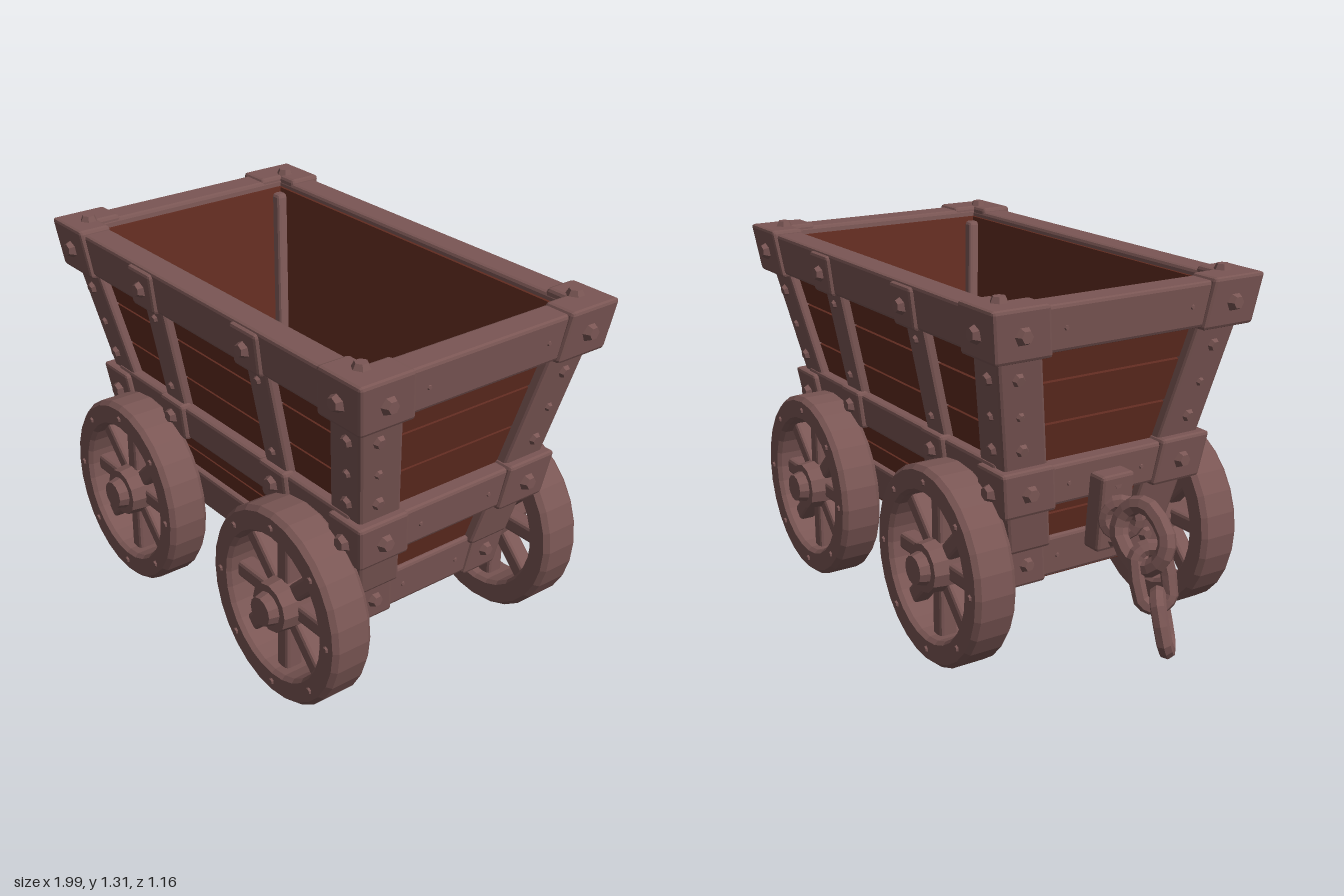
import * as THREE from 'three';
import { RoundedBoxGeometry } from 'three/addons/geometries/RoundedBoxGeometry.js';

const frameMat = new THREE.MeshStandardMaterial({ color: 0x7a5654, flatShading: true });
frameMat.name = 'dusty brown frame';
const plankMat = new THREE.MeshStandardMaterial({ color: 0x602b20, flatShading: true });
plankMat.name = 'red brown planks';

const LEAN_X = 0.215, LEAN_Z = 0.2; // outward lean of the walls
const postX = (y) => 0.8 + LEAN_X * (y - 1.13);
const postZ = (y) => 0.47 + LEAN_Z * (y - 1.13);
const SIGNS = [-1, 1];

function add(parent, name, geo, mat = frameMat) {
  const mesh = new THREE.Mesh(geo, mat);
  mesh.name = name;
  parent.add(mesh);
  return mesh;
}

function group(parent, name) {
  const g = new THREE.Group();
  g.name = name;
  parent.add(g);
  return g;
}

// Chamfered block, sheared so that it leans by kx and kz per unit of height
function block(parent, name, [w, h, d], [x, y, z], kx = 0, kz = 0) {
  const geo = new RoundedBoxGeometry(w, h, d, 1, 0.012);
  const p = geo.attributes.position;
  for (let i = 0; i < p.count; i++) {
    p.setX(i, p.getX(i) + kx * p.getY(i));
    p.setZ(i, p.getZ(i) + kz * p.getY(i));
  }
  geo.computeVertexNormals();
  const mesh = add(parent, name, geo);
  mesh.position.set(x, y, z);
  return mesh;
}

// Low six-sided rivet pointing along dir
function bolt(parent, pos, dir, r = 0.03) {
  const mesh = add(parent, 'bolt', new THREE.CylinderGeometry(r * 0.6, r, r * 0.8, 6));
  mesh.position.set(...pos);
  mesh.quaternion.setFromUnitVectors(new THREE.Vector3(0, 1, 0), new THREE.Vector3(...dir).normalize());
}

// Surface through rectangular rings [halfX, y, halfZ], closed at both ends
function loftRects(rings) {
  const corner = ([x, y, z], j) => [[x, y, z], [x, y, -z], [-x, y, -z], [-x, y, z]][j % 4];
  const out = [];
  const quad = (a, b, c, d) => out.push(...a, ...b, ...c, ...a, ...c, ...d);
  for (let i = 0; i < rings.length - 1; i++)
    for (let j = 0; j < 4; j++)
      quad(corner(rings[i], j), corner(rings[i], j + 1), corner(rings[i + 1], j + 1), corner(rings[i + 1], j));
  const a = rings[0], b = rings[rings.length - 1];
  quad(corner(a, 3), corner(a, 2), corner(a, 1), corner(a, 0));
  quad(corner(b, 0), corner(b, 1), corner(b, 2), corner(b, 3));
  const geo = new THREE.BufferGeometry();
  geo.setAttribute('position', new THREE.Float32BufferAttribute(out, 3));
  geo.computeVertexNormals();
  return geo;
}

// Plank tub: grooved outside, smooth inside, lining the rim
function buildTub(body) {
  const outer = (y, inset = 0) => [postX(y) - 0.04 - inset, y, postZ(y) - 0.035 - inset];
  const rings = [outer(0.267)];
  for (const y of [0.52, 0.86, 1.01])
    rings.push(outer(y - 0.004), outer(y - 0.001, 0.012), outer(y + 0.001, 0.012), outer(y + 0.004));
  rings.push(outer(1.255), [0.72, 1.255, 0.388], [0.485, 0.33, 0.23]);
  add(body, 'tub', loftRects(rings), plankMat);
}

// Horizontal beams round the tub, wrapped at the corners by L-shaped blocks
function buildBand(body, name, { y, h, sideY, sideH, x, z, t, bw, bd, out, r }) {
  const band = group(body, name);
  for (const s of SIGNS) {
    block(band, 'sideBeam', [2 * x - 0.1, sideH, t], [0, sideY, s * (z - t / 2)], 0, s * 0.12);
    block(band, 'endBeam', [t, h, 2 * z - 0.1], [s * (x - t / 2), y, 0], s * 0.12, 0);
    for (const n of SIGNS) {
      const ox = x + out, oz = z + out, bt = t + out;
      const cx = s * (ox - bw / 2), cz = n * (oz - bd / 2);
      block(band, 'cornerBlock', [bw, h + 0.02, bt], [cx, y, n * (oz - bt / 2)], s * 0.14, n * 0.14);
      block(band, 'cornerBlock', [bt, h + 0.02, bd], [s * (ox - bt / 2), y, cz], s * 0.14, n * 0.14);
      bolt(band, [s * (ox + 0.008), y, cz], [s, 0, 0], r);
      bolt(band, [cx, y, n * (oz + 0.008)], [0, 0, n], r);
      bolt(band, [s * x, y, n * (z - bd - 0.045)], [s, 0, 0], 0.011);
    }
  }
  return band;
}

function buildFrame(body) {
  const rim = buildBand(body, 'topRim', { y: 1.205, h: 0.155, sideY: 1.203, sideH: 0.15,
    x: 0.835, z: 0.5, t: 0.108, bw: 0.2, bd: 0.21, out: 0.014, r: 0.035 });
  const belt = buildBand(body, 'middleBelt', { y: 0.653, h: 0.145, sideY: 0.685, sideH: 0.125,
    x: 0.722, z: 0.392, t: 0.075, bw: 0.16, bd: 0.2, out: 0.015, r: 0.035 });
  buildBand(body, 'bottomSill', { y: 0.358, h: 0.15, sideY: 0.372, sideH: 0.145,
    x: 0.618, z: 0.312, t: 0.075, bw: 0.13, bd: 0.15, out: 0.01, r: 0.03 });

  for (const s of SIGNS) for (const n of SIGNS) {
    bolt(rim, [s * 0.755, 1.297, n * 0.435], [0, 1, 0], 0.036);

    // Leaning corner posts made of two boards, with a thin strut inside
    const px = postX(0.78), pz = postZ(0.78);
    block(body, 'cornerPost', [0.145, 0.74, 0.08], [s * (px - 0.0725), 0.78, n * (pz - 0.04)], s * LEAN_X, n * LEAN_Z);
    block(body, 'cornerPost', [0.08, 0.74, 0.165], [s * (px - 0.04), 0.78, n * (pz - 0.0825)], s * LEAN_X, n * LEAN_Z);
    block(body, 'innerStrut', [0.07, 0.9, 0.07], [s * 0.6, 0.79, n * 0.308], s * 0.253, n * 0.17);
    for (const y of [1.05, 0.92, 0.8]) {
      const r = y === 0.92 ? 0.018 : 0.027;
      bolt(body, [s * (postX(y) + 0.004), y, n * (postZ(y) - 0.07)], [s, -0.2, 0], r);
      bolt(body, [s * (postX(y) - 0.06), y, n * (postZ(y) + 0.004)], [0, -0.2, n], r);
    }

    // Side ribs with plates where they cross the rim and belt
    const x = s * 0.295;
    block(body, 'sideRib', [0.115, 0.5, 0.06], [x, 0.9, n * (postZ(0.9) - 0.03)], 0, n * LEAN_Z);
    block(rim, 'ribPlate', [0.14, 0.145, 0.05], [x, 1.197, n * 0.488], 0, n * 0.12);
    block(belt, 'ribPlate', [0.14, 0.14, 0.05], [x, 0.687, n * 0.384], 0, n * 0.12);
    bolt(rim, [x, 1.2, n * 0.521], [0, 0, n], 0.033);
    bolt(belt, [x, 0.695, n * 0.417], [0, 0, n], 0.033);
    for (const y of [1.08, 0.81]) bolt(body, [x, y, n * (postZ(y) + 0.004)], [0, -0.2, n], 0.018);
  }
}

// Slightly oval wheel about the z axis, outer face toward +z
function buildWheel(parent) {
  const wheel = group(parent, 'wheel');
  const profile = [[0.255, -0.062], [0.266, -0.076], [0.332, -0.076], [0.347, -0.058],
    [0.347, 0.058], [0.332, 0.075], [0.266, 0.075], [0.255, 0.06], [0.255, -0.062]];
  const tyre = new THREE.LatheGeometry(profile.map((p) => new THREE.Vector2(...p)), 28);
  tyre.rotateX(Math.PI / 2);
  tyre.scale(0.95, 1, 1);
  add(wheel, 'wheelRim', tyre);
  for (let i = 0; i < 8; i++) {
    const a = (i * Math.PI) / 4, c = Math.cos(a) * 0.95, s = Math.sin(a);
    block(wheel, 'spoke', [0.2, 0.06, 0.065], [c * 0.17, s * 0.17, 0]).rotation.z = a;
    bolt(wheel, [c * 0.298, s * 0.298, 0.076], [0, 0, 1], 0.015);
  }
  // Hub steps: [front radius, back radius, length, z]
  for (const [r1, r2, len, z] of [[0.085, 0.1, 0.13, 0.02], [0.05, 0.06, 0.04, 0.1],
    [0.1, 0.1, 0.07, -0.08], [0.085, 0.085, 0.12, -0.16]]) {
    const hub = add(wheel, 'hub', new THREE.CylinderGeometry(r1, r2, len, 12));
    hub.rotation.x = Math.PI / 2;
    hub.position.z = z;
  }
  return wheel;
}

// Torus pulled apart along y into a chain link
function link(parent, r, tube, stretch, pos, yaw, tilt) {
  const geo = new THREE.TorusGeometry(r, tube, 7, 16);
  const p = geo.attributes.position;
  for (let i = 0; i < p.count; i++) {
    const y = p.getY(i);
    if (Math.abs(y) > 1e-5) p.setY(i, y + Math.sign(y) * stretch);
  }
  geo.computeVertexNormals();
  const mesh = add(parent, 'chainLink', geo);
  mesh.position.set(...pos);
  mesh.rotation.set(0, yaw, tilt, 'ZYX');
}

function buildChain(root) {
  const chain = group(root, 'chain');
  block(chain, 'chainBracket', [0.08, 0.27, 0.13], [-0.615, 0.54, 0], -0.1, 0);
  for (const y of [0.44, 0.64]) bolt(chain, [-0.655, y, 0], [-1, 0, 0], 0.025);
  link(chain, 0.055, 0.026, 0, [-0.68, 0.53, 0], 0.9, 0);
  link(chain, 0.085, 0.031, 0.02, [-0.795, 0.505, 0], 0.35, -0.9);
  link(chain, 0.052, 0.027, 0.045, [-0.852, 0.385, 0], 1.1, -0.3);
  link(chain, 0.058, 0.027, 0.035, [-0.91, 0.25, 0], -0.75, -0.32);
}

export function createModel() {
  const root = new THREE.Group();
  root.name = 'mineCart';
  const body = group(root, 'body');
  body.position.x = 0.128;
  buildTub(body);
  buildFrame(body);
  for (const s of SIGNS) for (const n of SIGNS) {
    const wheel = buildWheel(body);
    wheel.position.set(s * 0.455, 0.352, n * 0.46);
    if (n < 0) wheel.rotation.y = Math.PI;
  }
  buildChain(root);
  return root;
}
